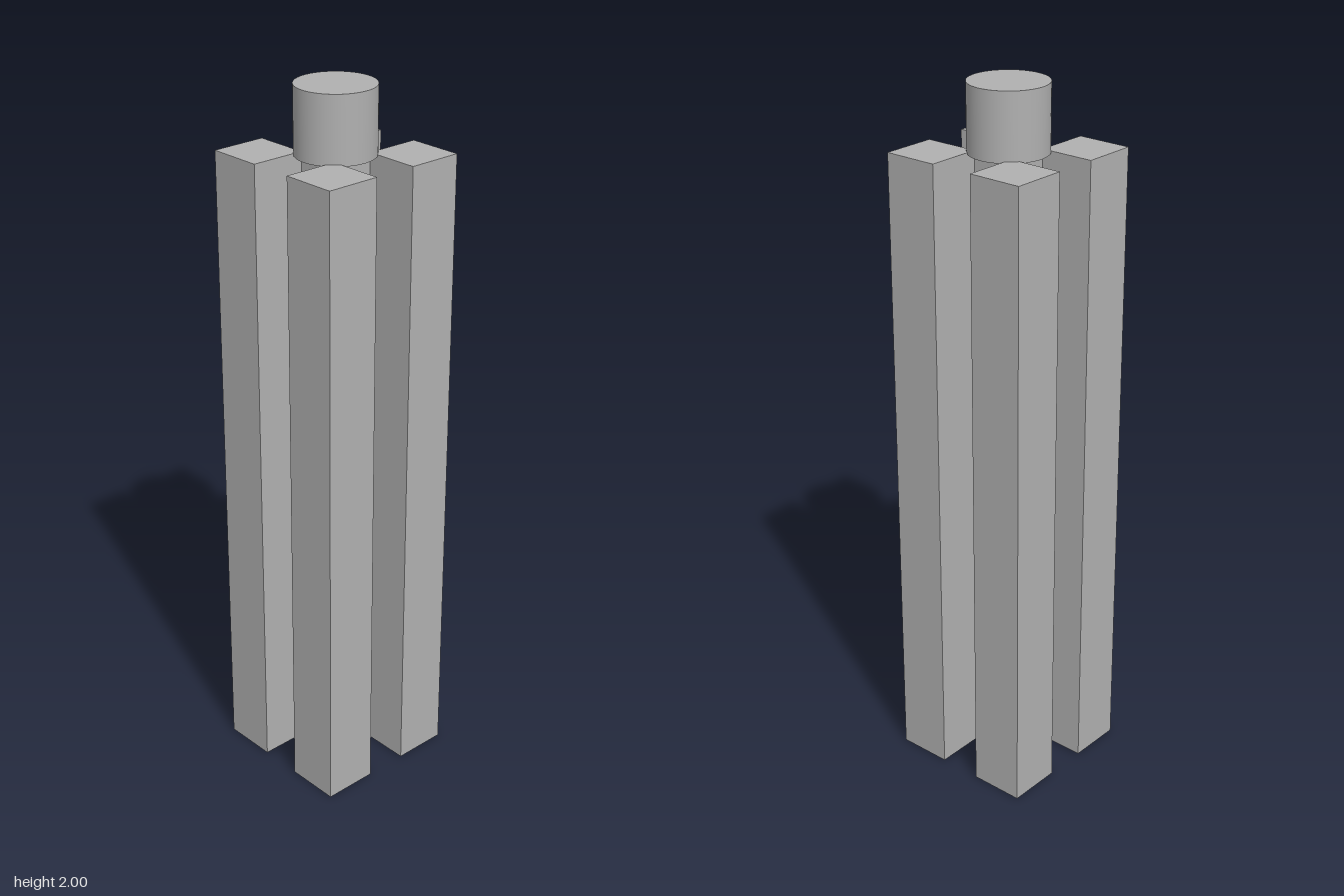
import * as THREE from 'three';

export function createModel() {
  const model = new THREE.Group();
  model.name = 'columnCluster';
  const grey = new THREE.MeshStandardMaterial({ color: 0xb0b0b0 });
  grey.name = 'grey';

  const add = (name, geometry, x, y, z) => {
    const mesh = new THREE.Mesh(geometry, grey);
    mesh.name = name;
    mesh.position.set(x, y, z);
    model.add(mesh);
  };

  const inner = 0.062, outer = 0.219, height = 1.82, capBottom = 1.815;
  const width = outer - inner, offset = (outer + inner) / 2;

  // Four square corner columns
  const column = new THREE.BoxGeometry(width, height, width);
  for (const [side, sx] of [['left', 1], ['right', -1]]) {
    for (const [end, sz] of [['Front', 1], ['Back', -1]]) {
      add(`${side}${end}Column`, column, sx * offset, height / 2, sz * offset);
    }
  }

  // Square core joining the columns along their inner edges
  add('core', new THREE.BoxGeometry(inner * 2, capBottom, inner * 2), 0, capBottom / 2, 0);

  // Round cap on the core
  const capHeight = 2 - capBottom;
  add('cap', new THREE.CylinderGeometry(0.109, 0.109, capHeight, 64), 0, capBottom + capHeight / 2, 0);

  return model;
}
